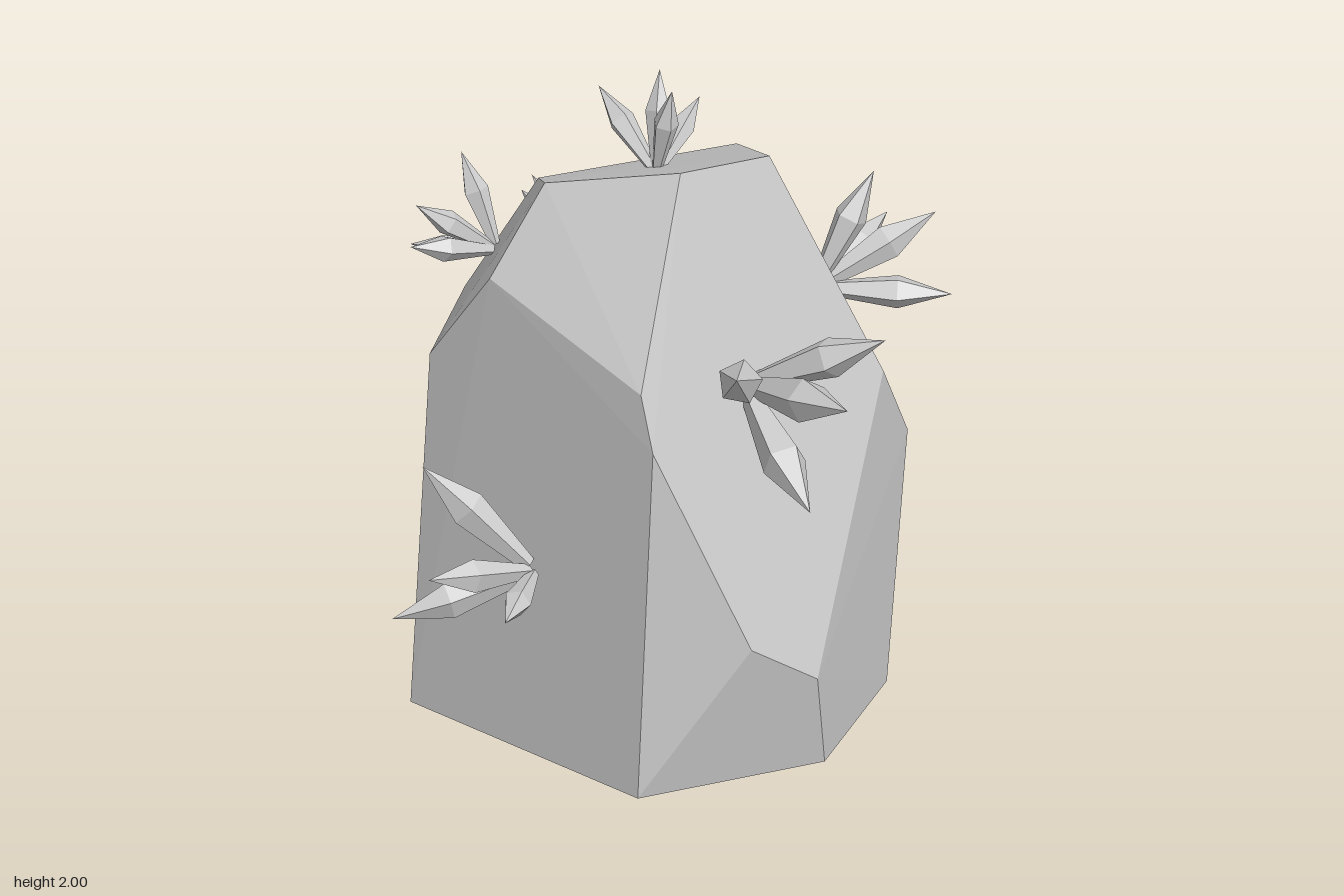
import * as THREE from 'three';
import { ConvexGeometry } from 'three/addons/geometries/ConvexGeometry.js';

const V = (p) => new THREE.Vector3(...p);
const material = new THREE.MeshStandardMaterial({ color: 0xcccccc, flatShading: true });

// Corners of the faceted boulder, ring by ring
const top = [
  [-0.03, 1.845, 0.25], [0.3, 1.78, 0.15], [0.395, 1.57, -0.305],
  [-0.27, 1.633, -0.245], [-0.34, 1.735, -0.04],
];
const shoulder = [
  [-0.53, 1.47, -0.01], [-0.285, 1.3, 0.54], [-0.273, 1.13, 0.6], [0.605, 1.06, 0.29],
  [0.533, 1.245, -0.443], [-0.436, 1.226, -0.404], [-0.635, 1.14, -0.21],
];
const waist = [
  [-0.015, 0.48, 0.735], [0.21, 0.32, 0.707], [0.745, 0.76, 0.15],
  [0.77, 0.695, -0.145], [0.352, 0.68, -0.665], [-0.2, 0.52, -0.705],
];
const base = [
  [-0.335, 0, 0.63], [0.26, 0, 0.645], [0.625, 0, 0.27], [0.69, 0, -0.245],
  [0.385, 0, -0.62], [-0.24, 0, -0.685], [-0.71, 0, -0.18],
];

// Crystal clusters: root point buried in the rock, then the tip of each crystal
const clusters = [
  { name: 'frontCrystals', root: [0.11, 1.18, 0.4],
    tips: [[-0.1, 1.45, 0.82], [0.43, 1.41, 0.705], [0.095, 1.01, 0.915], [0.215, 1.325, 0.915]] },
  { name: 'leftCrystals', root: [0.53, 1.19, -0.04],
    tips: [[0.72, 1.54, -0.04], [0.91, 1.37, -0.02], [0.86, 1.26, -0.26], [0.89, 1.18, 0.145]] },
  { name: 'rightLowerCrystals', root: [-0.49, 0.6, 0.23],
    tips: [[-0.78, 0.93, 0.065], [-0.875, 0.7, 0.325], [-0.915, 0.49, 0.15], [-0.7, 0.6, 0.49]] },
  { name: 'rightUpperCrystals', root: [-0.41, 1.43, -0.23],
    tips: [[-0.47, 1.71, -0.355], [-0.655, 1.615, -0.265], [-0.71, 1.53, -0.18], [-0.6, 1.39, -0.43]] },
  { name: 'topCrystals', root: [0.01, 1.7, -0.02],
    tips: [[0.035, 2, 0.04], [0.07, 1.98, -0.13], [-0.065, 1.885, -0.27], [0.22, 1.83, -0.18]] },
  { name: 'backCrystals', root: [0.07, 1.06, -0.48],
    tips: [[-0.1, 1.385, -0.68], [-0.03, 1.2, -0.915], [-0.12, 0.905, -0.925], [0.28, 1.07, -0.905]] },
  { name: 'leftBackCrystals', root: [0.51, 0.61, -0.43],
    tips: [[0.81, 0.735, -0.475], [0.63, 0.655, -0.7], [0.79, 0.57, -0.595], [0.68, 0.405, -0.51]] },
];

// One pointed crystal: narrow foot, widest past the middle, sharp tip
function crystal(root, tip, spin) {
  const direction = tip.clone().sub(root);
  const length = direction.length();
  const profile = [[0, 0], [0.055, 0], [0.135, 0.58], [0, 1]]
    .map(([r, h]) => new THREE.Vector2(r * length, h * length));
  const mesh = new THREE.Mesh(new THREE.LatheGeometry(profile, 5, spin), material);
  mesh.name = 'crystal';
  mesh.position.copy(root);
  mesh.quaternion.setFromUnitVectors(new THREE.Vector3(0, 1, 0), direction.normalize());
  return mesh;
}

export function createModel() {
  const model = new THREE.Group();
  model.name = 'crystalBoulder';

  // Boulder
  const corners = [...top, ...shoulder, ...waist, ...base].map(V);
  const boulder = new THREE.Mesh(new ConvexGeometry(corners), material);
  boulder.name = 'boulder';
  model.add(boulder);

  // Clusters, with the feet spread slightly apart
  for (const { name, root, tips } of clusters) {
    const group = new THREE.Group();
    group.name = name;
    tips.forEach((p, i) => {
      const tip = V(p);
      group.add(crystal(V(root).lerp(tip, 0.06), tip, i * 0.7));
    });
    model.add(group);
  }
  return model;
}
